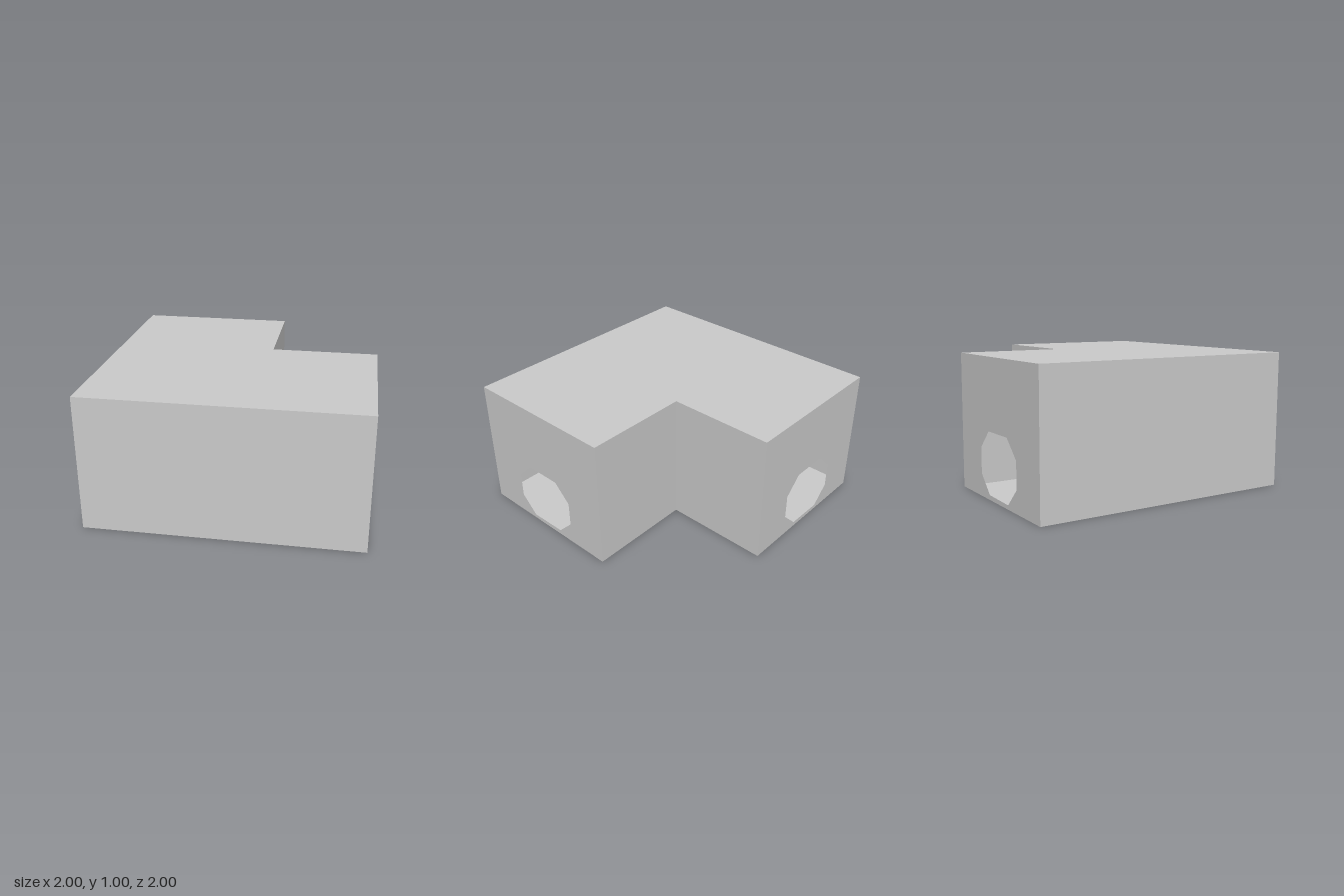
import * as THREE from 'three';

const material = new THREE.MeshStandardMaterial({
  color: 0xcccccc, flatShading: true, side: THREE.DoubleSide,
});

const BENCH = 0.25; // height of the raised corner bench
const LIP = 0.31;   // height of the diagonal deflector

const toShape = (pts) => new THREE.Shape(pts.map(([a, b]) => new THREE.Vector2(a, b)));

// Horizontal sheet from [x, z] corners, raised by height(x, z)
function sheet(name, pts, height) {
  const geo = new THREE.ShapeGeometry(toShape(pts.map(([x, z]) => [x, -z])));
  geo.rotateX(-Math.PI / 2);
  const pos = geo.attributes.position;
  for (let i = 0; i < pos.count; i++) pos.setY(i, height(pos.getX(i), pos.getZ(i)));
  geo.computeVertexNormals();
  const mesh = new THREE.Mesh(geo, material);
  mesh.name = name;
  return mesh;
}

// Upright panel on the line a -> b ([x, z]); profile and hole are [distance, y]
function panel(name, a, b, profile, hole) {
  const shape = toShape(profile);
  if (hole) shape.holes.push(toShape(hole));
  const mesh = new THREE.Mesh(new THREE.ShapeGeometry(shape), material);
  mesh.position.set(a[0], 0, a[1]);
  mesh.rotation.y = Math.atan2(-(b[1] - a[1]), b[0] - a[0]);
  mesh.name = name;
  return mesh;
}

const length = (a, b) => Math.hypot(b[0] - a[0], b[1] - a[1]);
const rect = (w, h) => [[0, 0], [w, 0], [w, h], [0, h]];

export function createModel() {
  const group = new THREE.Group();
  group.name = 'cornerTunnel';

  // L-shaped outline and octagonal portal, as [z, y] on the left end
  const outline = [[-1, 1], [1, 1], [1, -0.2], [0.2, -0.2], [0.2, -1], [-1, -1]];
  const portal = [[0.55, 0.03], [0.68, 0.16], [0.68, 0.355], [0.545, 0.485],
    [0.26, 0.485], [0.13, 0.355], [0.13, 0.165], [0.26, 0.035]];
  const holes = {
    1: portal.map(([z, y]) => [1 - z, y]),
    4: portal.map(([z, y]) => [0.2 + z, y]),
  };
  const names = ['frontWall', 'leftPortalWall', 'notchBackWall', 'notchSideWall',
    'backPortalWall', 'rightWall'];

  // Roof and thin outer walls
  group.add(sheet('roof', outline, () => 1));
  outline.forEach((a, i) => {
    const b = outline[(i + 1) % outline.length];
    group.add(panel(names[i], a, b, rect(length(a, b), 1), holes[i]));
  });

  // Floor, leaving the outer corner open underneath
  group.add(sheet('floor', [[0.2, 1], [1, 1], [1, -0.2], [0.2, -0.2], [0.2, -1], [-1, -1],
    [-1, -0.2], [-0.8, -0.2], [-0.8, 0.2], [-0.2, 0.8], [0.2, 0.8]], () => 0));

  // Raised bench in the corner with a ramp at each end
  group.add(sheet('cornerBench',
    [[-1, 1], [-0.2, 1], [-0.2, 0.8], [-0.8, 0.2], [-1, 0.2]], () => BENCH));
  group.add(sheet('frontRamp', [[-0.2, 0.8], [-0.2, 1], [0.2, 1], [0.2, 0.8]],
    (x) => BENCH * (0.2 - x) / 0.4));
  group.add(sheet('sideRamp', [[-1, -0.2], [-1, 0.2], [-0.8, 0.2], [-0.8, -0.2]],
    (x, z) => BENCH * (z + 0.2) / 0.4));

  // Kerbs beside the ramps and the diagonal deflector between them
  group.add(panel('frontRampKerb', [0.2, 0.8], [-0.2, 0.8], [[0, 0], [0.4, 0], [0.4, BENCH]]));
  group.add(panel('sideRampKerb', [-0.8, -0.2], [-0.8, 0.2], [[0, 0], [0.4, 0], [0.4, BENCH]]));
  const a = [-0.2, 0.8], b = [-0.8, 0.2];
  group.add(panel('deflector', a, b, rect(length(a, b), LIP)));

  return group;
}
